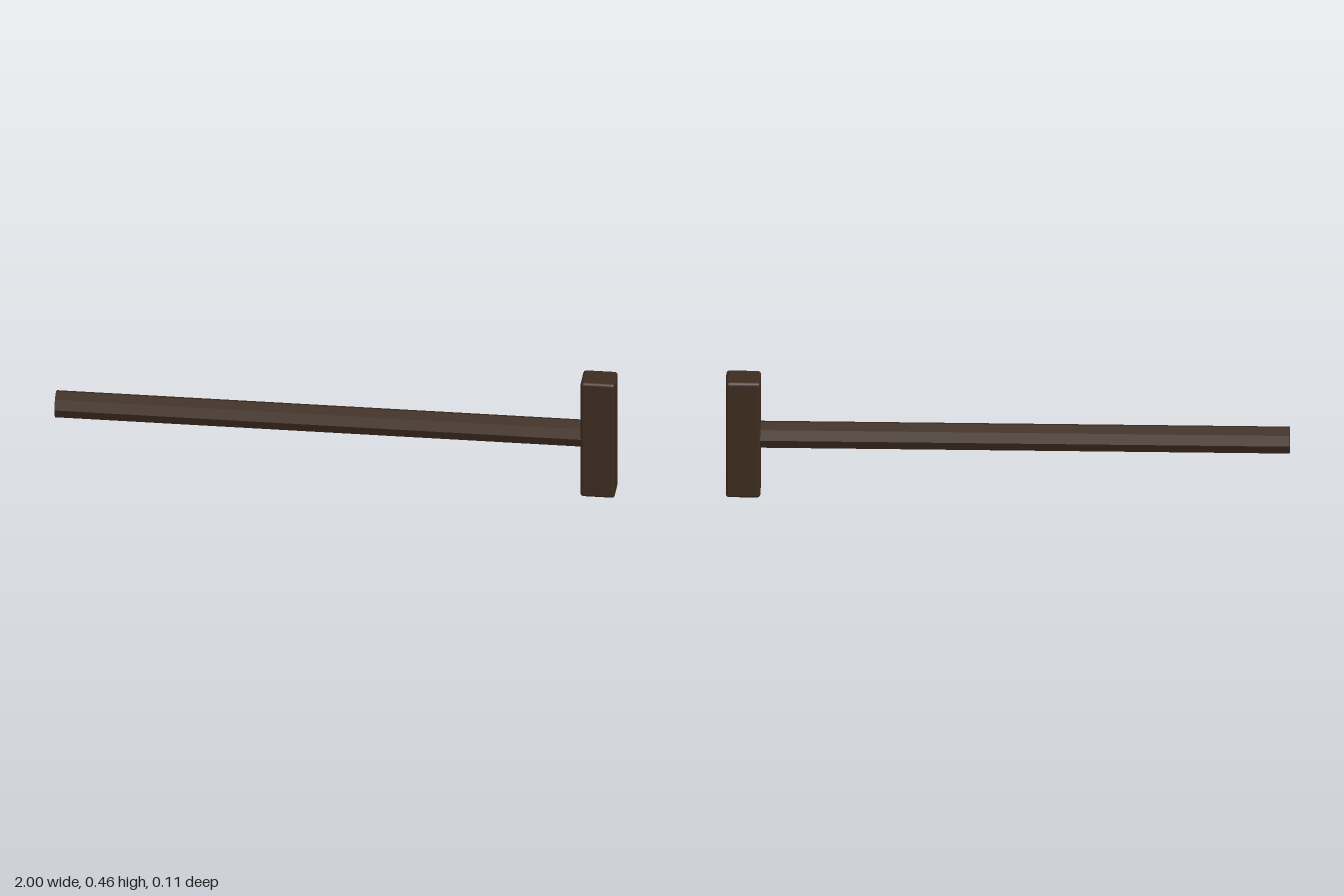
import * as THREE from 'three';
import { RoundedBoxGeometry } from 'three/addons/geometries/RoundedBoxGeometry.js';

export function createModel() {
  const group = new THREE.Group();
  group.name = 'mallet';

  const darkWood = new THREE.MeshStandardMaterial({ color: 0x3d2b1f });
  darkWood.name = 'darkWood';

  // Eight-sided handle lying along x; split vertices give it flat facets
  const shaft = new THREE.CylinderGeometry(0.05, 0.05, 1.9, 8).toNonIndexed();
  shaft.computeVertexNormals();
  const handle = new THREE.Mesh(shaft, darkWood);
  handle.name = 'handle';
  handle.rotation.z = Math.PI / 2;
  handle.position.set(-0.05, 0.231, 0);
  group.add(handle);

  // Upright block head with softened edges
  const head = new THREE.Mesh(new RoundedBoxGeometry(0.123, 0.462, 0.106, 3, 0.012), darkWood);
  head.name = 'head';
  head.position.set(0.9385, 0.231, 0);
  group.add(head);

  return group;
}
